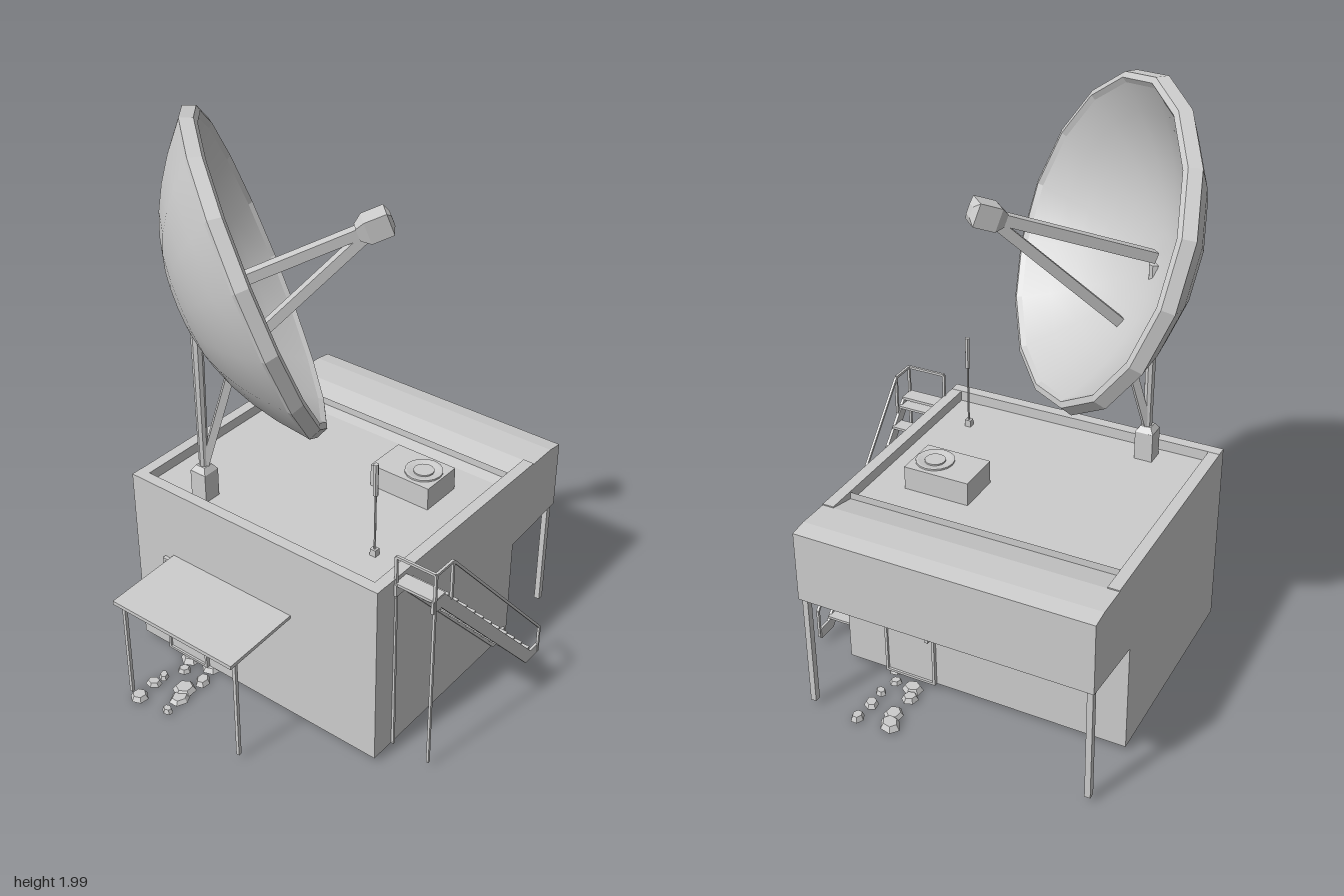
import * as THREE from 'three';

const mat = new THREE.MeshStandardMaterial({ color: 0xcccccc, side: THREE.DoubleSide, flatShading: true });
const smooth = new THREE.MeshStandardMaterial({ color: 0xcccccc, side: THREE.DoubleSide });
const V = (x, y, z) => new THREE.Vector3(x, y, z);

export function createModel() {
  const root = new THREE.Group();
  const add = (name, geo, parent = root, m = mat) => {
    const mesh = new THREE.Mesh(geo, m);
    mesh.name = name;
    parent.add(mesh);
    return mesh;
  };
  const group = (name) => {
    const g = new THREE.Group();
    g.name = name;
    root.add(g);
    return g;
  };
  // box given by its limits on each axis
  const box = (name, x0, x1, y0, y1, z0, z1, parent) => {
    const mesh = add(name, new THREE.BoxGeometry(x1 - x0, y1 - y0, z1 - z0), parent);
    mesh.position.set((x0 + x1) / 2, (y0 + y1) / 2, (z0 + z1) / 2);
    return mesh;
  };
  // square bar between two points
  const bar = (name, a, b, w, parent, h = w) => {
    const mesh = add(name, new THREE.BoxGeometry(w, h, a.distanceTo(b)), parent);
    mesh.position.copy(a).lerp(b, 0.5);
    mesh.lookAt(b);
    return mesh;
  };
  const shape = (pts) => new THREE.Shape(pts.map(([x, y]) => new THREE.Vector2(x, y)));
  // side profile in x and y, extruded along z
  const slab = (name, pts, z0, z1, parent) => {
    const geo = new THREE.ExtrudeGeometry(shape(pts), { depth: z1 - z0, bevelEnabled: false });
    geo.translate(0, 0, z0);
    return add(name, geo, parent);
  };

  // walls: a box with neither top nor floor
  const building = group('building');
  const walls = new THREE.BoxGeometry(0.79, 0.68, 1.03);
  const idx = Array.from(walls.index.array);
  walls.setIndex([...idx.slice(0, 12), ...idx.slice(24)]);
  walls.translate(0.015, 0.36, -0.055);
  add('walls', walls, building);

  // sunken roof rising to the overhang, with parapet on three sides
  slab('roof', [[-0.34, 0.665], [0.37, 0.665], [0.51, 0.695], [0.51, 0.685], [0.37, 0.655], [-0.34, 0.655]], -0.53, 0.42, building);
  box('parapetSide', -0.38, -0.34, 0.65, 0.703, -0.57, 0.46, building);
  for (const [z0, z1] of [[-0.57, -0.53], [0.42, 0.46]]) box('parapet', -0.34, 0.51, 0.65, 0.702, z0, z1, building);
  slab('overhang', [[0.41, 0.415], [0.68, 0.44], [0.68, 0.692], [0.62, 0.7], [0.51, 0.698], [0.41, 0.675]], -0.57, 0.46, building);
  for (const z of [-0.552, 0.445]) box('overhangPost', 0.645, 0.667, 0.02, 0.44, z - 0.01, z + 0.01, building);

  // doors and window with raised trim
  const frame = (name, x, out, y0, y1, z0, z1) => {
    const g = group(name);
    const t = 0.009;
    const xs = (d) => (out > 0 ? [x, x + d] : [x - d, x]);
    box('panel', ...xs(0.006), y0, y1, z0, z1, g);
    for (const z of [z0, z1 - t]) box('jamb', ...xs(0.014), y0, y1, z, z + t, g);
    for (const y of [y0, y1 - t]) box('rail', ...xs(0.014), y, y + t, z0, z1, g);
    return { g, xs };
  };
  const door = (x, out, z0, z1, hz) => {
    const { g, xs } = frame('door', x, out, 0.02, 0.42, z0, z1);
    box('handle', ...xs(0.024), 0.2, 0.265, hz - 0.006, hz + 0.006, g);
  };
  door(0.41, 1, 0.12, 0.31, 0.142);
  door(-0.38, -1, -0.44, -0.26, -0.31);
  frame('window', 0.41, 1, 0.21, 0.42, -0.405, -0.215);

  // side awning on thin posts
  slab('awning', [[-0.67, 0.413], [-0.38, 0.428], [-0.38, 0.44], [-0.67, 0.427]], -0.4, 0.115);
  for (const z of [-0.385, 0.1]) box('awningPost', -0.641, -0.629, 0.02, 0.415, z - 0.006, z + 0.006);

  // outside stair with stringers, treads and handrail
  const stairs = group('stairs');
  const stringer = [[-0.295, 0.685], [-0.235, 0.685], [0.335, 0.065], [0.385, 0.065], [0.385, 0.025], [0.31, 0.025], [-0.25, 0.64], [-0.295, 0.64]];
  for (const z of [0.46, 0.597]) slab('stringer', stringer, z, z + 0.01, stairs);
  for (let i = 0; i < 11; i++) {
    const x = 0.303 - i * 0.0535, y = 0.08 + i * 0.058;
    box('tread', x - 0.026, x + 0.03, y - 0.005, y + 0.004, 0.465, 0.602, stairs);
  }
  box('landing', -0.29, -0.23, 0.677, 0.687, 0.44, 0.605, stairs);
  const rail = [V(-0.285, 0.02, 0.605), V(-0.285, 0.785, 0.605), V(-0.195, 0.785, 0.605), V(0.385, 0.14, 0.605), V(0.385, 0.03, 0.605)];
  for (let i = 0; i < 4; i++) bar('handrail', rail[i], rail[i + 1], 0.009, stairs);
  bar('railPost', V(-0.195, 0.785, 0.605), V(-0.195, 0.64, 0.605), 0.009, stairs);
  bar('railEnd', V(-0.285, 0.785, 0.605), V(-0.285, 0.785, 0.46), 0.009, stairs);
  bar('railInner', V(-0.285, 0.785, 0.46), V(-0.285, 0.02, 0.465), 0.009, stairs);

  // rooftop unit with fan ring
  const unit = group('roofUnit');
  box('unitBody', 0.107, 0.264, 0.66, 0.748, 0.068, 0.302, unit);
  const fan = add('fanRing', new THREE.LatheGeometry(
    [[0.065, -0.01], [0.065, 0.004], [0.057, 0.004], [0.035, -0.001], [0.035, 0.004], [0, 0.004]].map(([x, y]) => new THREE.Vector2(x, y)), 16), unit);
  fan.position.set(0.185, 0.75, 0.23);

  // whip antenna
  const antenna = group('antenna');
  box('antennaFoot', -0.203, -0.182, 0.66, 0.69, 0.298, 0.32, antenna);
  for (const [r, y0, y1] of [[0.004, 0.68, 0.9], [0.009, 0.895, 1.01]]) {
    const rod = add('antennaRod', new THREE.CylinderGeometry(r, r, y1 - y0, 6), antenna);
    rod.position.set(-0.193, (y0 + y1) / 2, 0.31);
  }

  // mast carrying the dish
  const mast = group('mast');
  box('mastBase', -0.312, -0.248, 0.66, 0.77, -0.362, -0.298, mast);
  const cap = add('mastCap', new THREE.CylinderGeometry(0.026, 0.045, 0.02, 4).rotateY(Math.PI / 4), mast);
  cap.position.set(-0.28, 0.78, -0.33);
  const pole = add('mastPole', new THREE.CylinderGeometry(0.021, 0.016, 0.6, 8), mast);
  pole.position.set(-0.28, 1.08, -0.33);
  bar('mastStrut', V(-0.28, 0.78, -0.33), V(-0.205, 1.15, -0.255), 0.026, mast);

  // dish: local +z is the pointing direction
  const dish = group('dish');
  dish.position.set(-0.13, 1.49, -0.178);
  dish.lookAt(dish.position.clone().add(V(0.662, 0.352, 0.662)));
  const bowl = (r, depth, top) => Array.from({ length: 8 }, (_, i) => {
    const k = i / 7;
    return new THREE.Vector2(r * k, top - depth * (1 - k * k) * (0.93 + 0.07 * k));
  });
  const lathe = (pts) => new THREE.LatheGeometry(pts, 16).rotateX(Math.PI / 2);
  add('dishInside', lathe(bowl(0.5, 0.25, -0.01)), dish, smooth);
  add('dishBack', lathe(bowl(0.535, 0.245, -0.05).reverse()), dish, smooth);
  add('dishRim', lathe([[0.5, -0.01], [0.512, 0.005], [0.532, 0], [0.548, -0.04], [0.535, -0.05]]
    .map(([x, y]) => new THREE.Vector2(x, y))), dish);

  // feed horn on two arms
  const feed = group('feed');
  const tip = V(0.12, 1.622, 0.07);
  bar('feedArm', V(-0.278, 1.405, -0.328), tip, 0.036, feed);
  bar('feedBrace', V(-0.2, 1.19, -0.25), tip, 0.034, feed);
  const horn = new THREE.Group();
  horn.name = 'feedHorn';
  feed.add(horn);
  horn.position.copy(tip);
  horn.quaternion.copy(dish.quaternion);
  const part = (name, r0, r1, h, z) => add(name, new THREE.CylinderGeometry(r0, r1, h, 4).rotateY(Math.PI / 4).rotateX(Math.PI / 2).translate(0, 0, z), horn);
  part('hornBody', 0.054, 0.054, 0.075, 0);
  part('hornNeck', 0.054, 0.03, 0.03, -0.052);
  part('hornFace', 0.024, 0.054, 0.012, 0.043);

  // flat rubble stones by both doors
  const rubble = group('rubble');
  let seed = 7;
  const rnd = () => (seed = (seed * 16807) % 2147483647) / 2147483647;
  for (const [cx, cz] of [[0.52, 0.22], [-0.5, -0.29]]) {
    for (let i = 0; i < 10; i++) {
      const stone = add('stone', new THREE.CylinderGeometry(0.7, 1, 1, 6), rubble);
      const s = 0.022 + rnd() * 0.022;
      stone.scale.set(s, 0.012 + rnd() * 0.008, s * (0.7 + rnd() * 0.3));
      stone.position.set(cx + ((i % 5) - 2) * 0.066 + (rnd() - 0.5) * 0.03, 0.01 + rnd() * 0.008, cz + (i < 5 ? -0.05 : 0.05) + (rnd() - 0.5) * 0.05);
      stone.rotation.y = rnd() * 6;
    }
  }
  return root;
}
